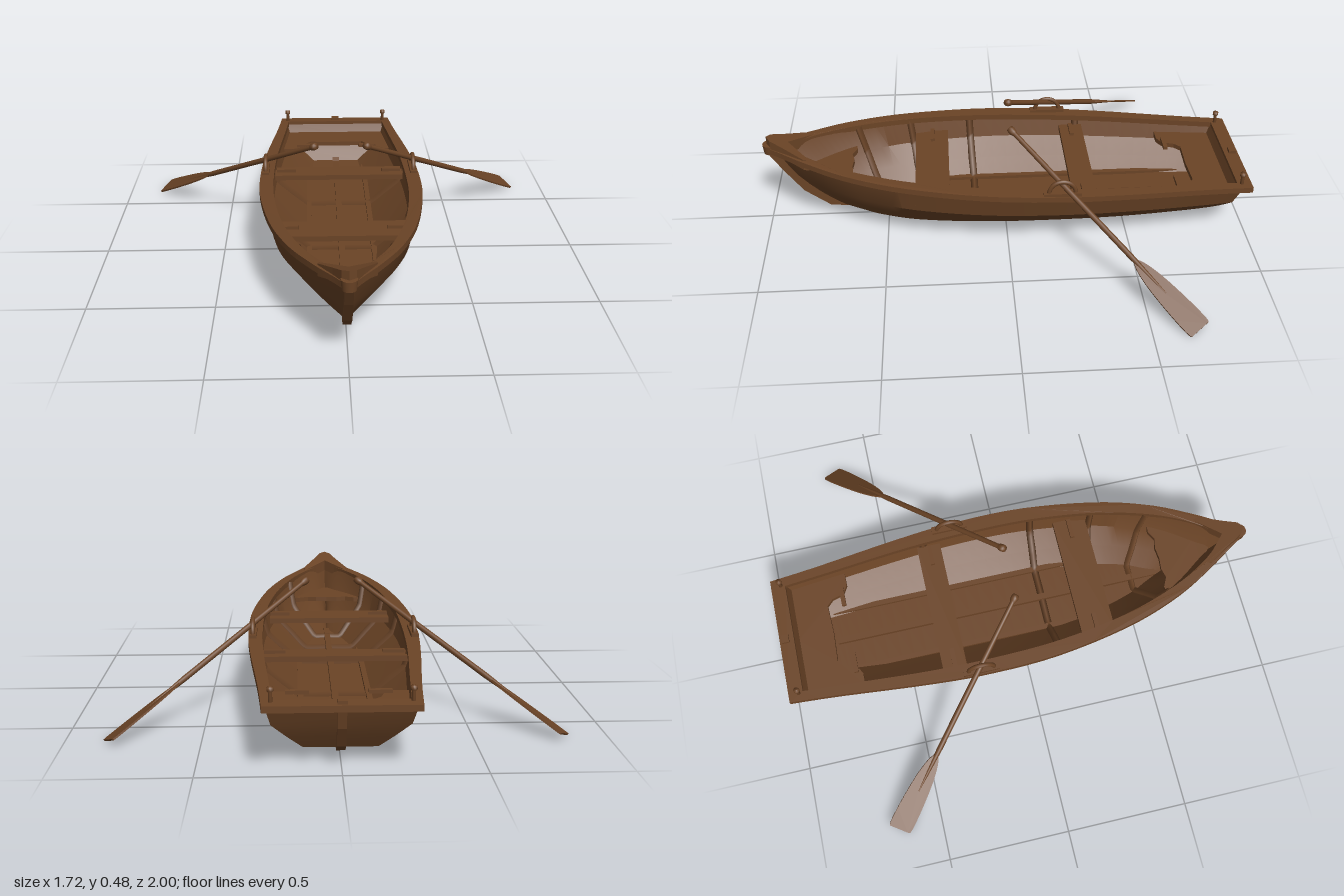
import * as THREE from 'three';
import { toCreasedNormals } from 'three/addons/utils/BufferGeometryUtils.js';

const wood = new THREE.MeshStandardMaterial({ color: 0x6b4426, side: THREE.DoubleSide });
const V = (x, y, z) => new THREE.Vector3(x, y, z);

// Hull stations, stern to bow: z, half beam, flat-bottom fraction, bottom y, rake
const stations = [
  [-0.96, 0.262, 0.5, 0.06, -0.09], [-0.8, 0.282, 0.5, 0.055, -0.06], [-0.5, 0.313, 0.5, 0.05, -0.02],
  [-0.2, 0.333, 0.49, 0.05, 0], [0.1, 0.326, 0.48, 0.05, 0.01], [0.4, 0.28, 0.46, 0.052, 0.04],
  [0.6, 0.215, 0.42, 0.058, 0.08], [0.75, 0.147, 0.35, 0.062, 0.14], [0.88, 0.066, 0.2, 0.066, 0.19],
  [0.96, 0.006, 0, 0.07, 0.22],
];
const rise = [0, 0, 0.27, 0.56, 1];
const sheer = (z) => 0.304 + 0.05 * z + 0.014 * Math.max(0, z) ** 3;

// Curves running the length of the hull: keel line, chines and gunwale
function hullLines(inset) {
  return rise.map((f, j) => new THREE.CatmullRomCurve3(stations.map(([z, w, b, yb, rake]) => {
    const fx = [0, b, b + 0.42 * (1 - b), b + 0.84 * (1 - b), 1][j];
    const x = Math.max(0, w * fx - (j ? inset : 0));
    return V(x, yb + (sheer(z) - 0.012 - yb) * f + inset * (1 - f),
      z * (1 - inset) - rake * (1 - f) ** 1.3);
  }), false, 'catmullrom', 0.5));
}

// Full cross-section, right gunwale to left gunwale
function section(lines, t) {
  const half = lines.map((c) => c.getPoint(t));
  return [...half.slice(1).reverse().map((p) => V(-p.x, p.y, p.z)), ...half];
}

function loft(rows) {
  const n = rows[0].length, index = [];
  for (let i = 0; i < rows.length - 1; i++)
    for (let j = 0; j < n - 1; j++) {
      const a = i * n + j, b = a + n;
      index.push(a, a + 1, b, a + 1, b + 1, b);
    }
  const g = new THREE.BufferGeometry().setFromPoints(rows.flat());
  g.setIndex(index);
  return toCreasedNormals(g, 0.45);
}

// Horizontal plate from an x-z outline; its top follows the height function
function plate(outline, thickness, topAt, hole) {
  const v2 = (pts) => pts.map(([x, z]) => new THREE.Vector2(x, z));
  const shape = new THREE.Shape(v2(outline));
  if (hole) shape.holes.push(new THREE.Path(v2(hole)));
  const g = new THREE.ExtrudeGeometry(shape, { depth: thickness, bevelEnabled: false });
  g.rotateX(Math.PI / 2);
  const p = g.attributes.position;
  for (let i = 0; i < p.count; i++) p.setY(i, p.getY(i) + topAt(p.getZ(i)));
  g.computeVertexNormals();
  return g;
}
const mirrored = (half) => [...half, ...half.slice().reverse().filter(([x]) => x > 0).map(([x, z]) => [-x, z])];
const smooth = (half, n) => new THREE.SplineCurve(half.map(([x, z]) => new THREE.Vector2(x, z)))
  .getPoints(n).map((p) => [Math.max(0, p.x), p.y]);

export function createModel() {
  const boat = new THREE.Group();
  boat.name = 'rowingBoat';
  const add = (name, geometry, parent = boat) => {
    const m = new THREE.Mesh(geometry, wood);
    m.name = name;
    parent.add(m);
    return m;
  };
  const box = (name, w, h, d, x, y, z) => add(name, new THREE.BoxGeometry(w, h, d).translate(x, y, z));

  // Outer and inner planking, each closed by a transom face
  for (const [name, inset] of [['outerHull', 0], ['innerHull', 0.02]]) {
    const lines = hullLines(inset), rows = [];
    for (let i = 0; i <= 45; i++) rows.push(section(lines, i / 45));
    add(name, loft(rows));
    const left = rows[0].slice(4);
    add(name + 'Transom', loft([left.map((p) => V(-p.x, p.y, p.z)), left]));
  }

  // Gunwale rim following the sheer
  const outerRim = smooth([[0.27, -1], [0.287, -0.8], [0.325, -0.45], [0.342, -0.2], [0.336, 0.1],
    [0.285, 0.42], [0.21, 0.65], [0.12, 0.82], [0.05, 0.93], [0.022, 0.98]], 40);
  const innerRim = smooth([[0.235, -0.94], [0.25, -0.75], [0.278, -0.4], [0.285, -0.1], [0.275, 0.15],
    [0.235, 0.42], [0.165, 0.65], [0.08, 0.81], [0, 0.895]], 40);
  add('gunwale', plate(mirrored(outerRim), 0.024, sheer, mirrored(innerRim)));

  // Raised V-shaped breasthook and rounded stem head
  add('breasthook', plate(mirrored([[0, 0.982], [0.026, 0.965], [0.055, 0.91], [0.105, 0.825], [0.1, 0.8], [0, 0.895]]),
    0.05, (z) => sheer(z) + Math.max(0, z - 0.8) * 0.24));
  add('stemHead', new THREE.CylinderGeometry(0.03, 0.026, 0.04, 16).translate(0, 0.355, 0.97));

  // Stem, keel and stern post in one curved timber
  const keel = new THREE.Shape([[0.985, 0.345], [0.925, 0.25], [0.85, 0.145], [0.745, 0.066], [0.5, 0.042],
    [0.1, 0.031], [-0.5, 0.031], [-0.86, 0.043], [-0.92, 0.08], [-0.965, 0.16], [-0.985, 0.24],
    [-0.94, 0.24], [-0.92, 0.16], [-0.87, 0.1], [-0.82, 0.068], [0, 0.06], [0.5, 0.065], [0.7, 0.09],
    [0.82, 0.17], [0.9, 0.27], [0.94, 0.345]].map(([z, y]) => new THREE.Vector2(z, y)));
  add('keel', new THREE.ExtrudeGeometry(keel, { depth: 0.032, bevelEnabled: false })
    .translate(0, 0, -0.016).rotateY(-Math.PI / 2));

  // Ribs against the inner planking
  const inner = hullLines(0.022);
  for (const t of [0.28, 0.46, 0.56, 0.69]) {
    const rib = new THREE.CatmullRomCurve3(section(inner, t), false, 'catmullrom', 0.2);
    add('rib', new THREE.TubeGeometry(rib, 40, 0.016, 4));
  }

  // Floor timbers
  box('keelson', 0.026, 0.02, 1.42, 0, 0.084, -0.07);
  for (const s of [-1, 1]) box('floorStringer', 0.022, 0.014, 1.1, s * 0.135, 0.078, -0.23);

  // Benches and end seats
  box('rearThwart', 0.57, 0.022, 0.1, 0, 0.229, -0.312);
  box('frontThwart', 0.53, 0.022, 0.14, 0, 0.234, 0.305);
  add('sternSeat', plate(mirrored([[0, -0.93], [0.23, -0.93], [0.255, -0.69], [0.2, -0.69], [0.165, -0.71],
    [0.15, -0.76], [0.125, -0.785], [0, -0.78]]), 0.02, () => 0.205));
  add('bowSeat', plate(mirrored([[0, 0.64], [0.05, 0.635], [0.09, 0.645], [0.13, 0.625], [0.172, 0.63],
    [0.13, 0.71], [0.06, 0.81], [0, 0.86]]), 0.02, () => 0.25));

  for (const s of [-1, 1]) {
    // Seat brackets
    for (const [x, y, z] of [[0.235, 0.246, -0.31], [0.22, 0.251, 0.302], [0.15, 0.211, -0.715]])
      box('seatBracket', 0.085, 0.014, 0.018, s * x, y, z);

    // Arched oarlock on its pad
    box('oarlockPad', 0.03, 0.014, 0.15, s * 0.322, 0.3, -0.21);
    add('oarlock', new THREE.TorusGeometry(0.053, 0.009, 8, 24, Math.PI)
      .rotateY(Math.PI / 2).translate(s * 0.322, 0.302, -0.21));

    // Stern pin
    add('sternPin', new THREE.LatheGeometry([[0, 0], [0.008, 0], [0.007, 0.045], [0.012, 0.05], [0.012, 0.062], [0, 0.066]]
      .map(([r, y]) => new THREE.Vector2(r, y)), 12).translate(s * 0.24, 0.245, -0.958));

    // Oar: grip, shaft and flat blade along one axis
    const start = V(s * 0.105, 0.472, -0.017), end = V(s * 0.835, 0.023, -0.677);
    const dir = end.clone().sub(start), length = dir.length();
    dir.normalize();
    const normal = V(s * 0.523, 0.852, 0);
    normal.addScaledVector(dir, -normal.dot(dir)).normalize();
    const oar = new THREE.Group();
    oar.name = s > 0 ? 'leftOar' : 'rightOar';
    oar.quaternion.setFromRotationMatrix(new THREE.Matrix4()
      .makeBasis(dir.clone().cross(normal), dir, normal));
    oar.position.copy(start);
    add('shaft', new THREE.LatheGeometry([[0, -0.008], [0.014, -0.004], [0.016, 0.008], [0.014, 0.022], [0.01, 0.03],
      [0.0115, 0.3], [0.0115, 0.7], [0.004, 0.9], [0, 0.91]].map(([r, y]) => new THREE.Vector2(r, y)), 12), oar);
    const edge = smooth([[0.008, 0.73], [0.024, 0.77], [0.038, 0.85], [0.047, 0.97], [0.048, length - 0.012], [0.036, length]], 20);
    add('blade', new THREE.ExtrudeGeometry(new THREE.Shape(mirrored(edge).map(([x, y]) => new THREE.Vector2(x, y))),
      { depth: 0.007, bevelEnabled: false }).translate(0, 0, -0.0035), oar);
    boat.add(oar);
  }

  // Small fitting in the middle of the transom rim
  box('sternFitting', 0.034, 0.014, 0.03, 0, 0.26, -0.975);
  return boat;
}
